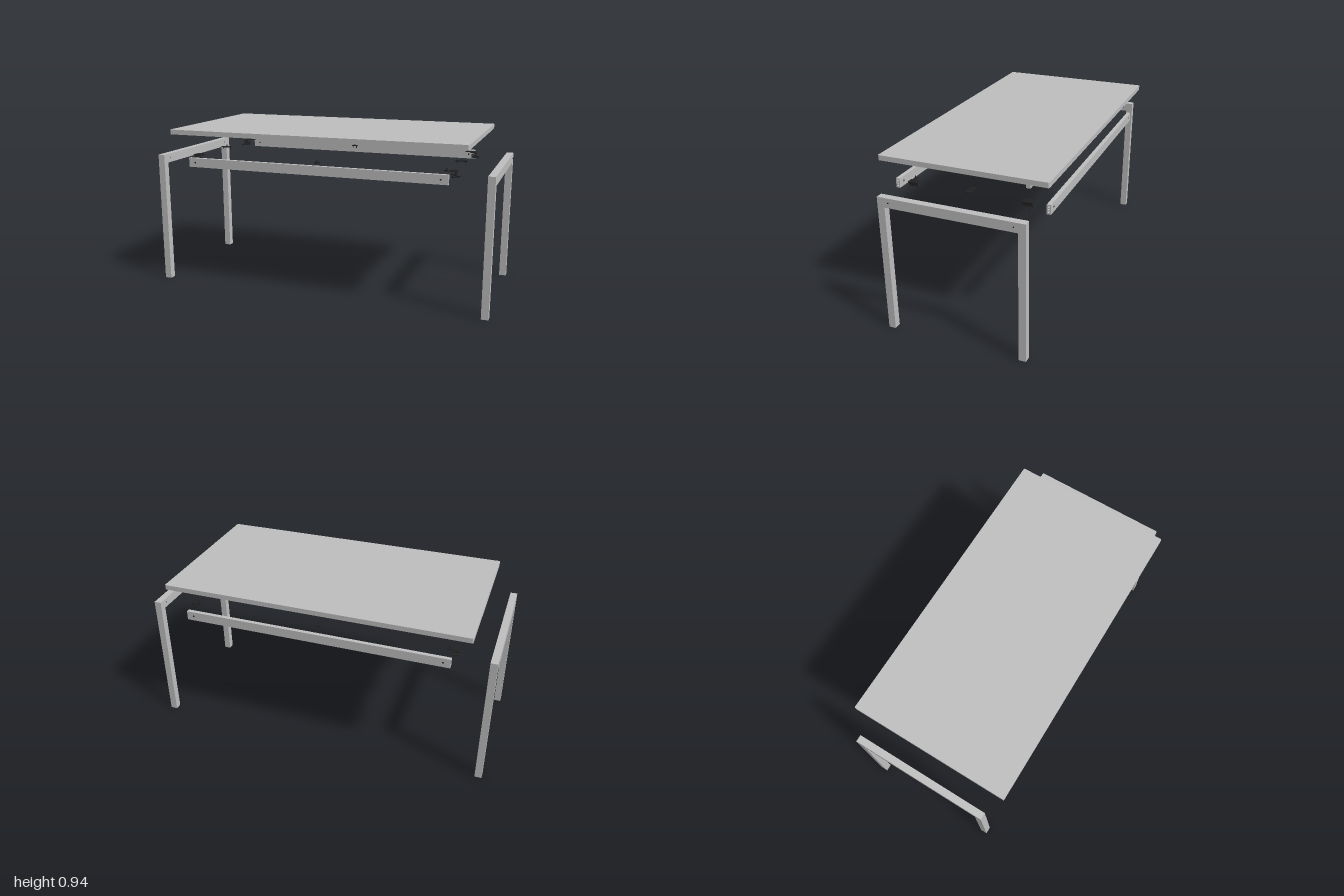
import * as THREE from 'three';

const grey = new THREE.MeshStandardMaterial({ color: 0xc0c0c0 });
grey.name = 'light grey';
const black = new THREE.MeshStandardMaterial({ color: 0x222222 });
black.name = 'black hardware';

function add(parent, name, geometry, material, x = 0, y = 0, z = 0) {
  const mesh = new THREE.Mesh(geometry, material);
  mesh.name = name;
  mesh.position.set(x, y, z);
  parent.add(mesh);
  return mesh;
}

const box = (w, h, d) => new THREE.BoxGeometry(w, h, d);
const rod = (r, len) => new THREE.CylinderGeometry(r, r, len, 12);

function rectShape(w, h, r) {
  const s = new THREE.Shape();
  s.moveTo(-w / 2 + r, -h / 2);
  s.lineTo(w / 2 - r, -h / 2).quadraticCurveTo(w / 2, -h / 2, w / 2, -h / 2 + r);
  s.lineTo(w / 2, h / 2 - r).quadraticCurveTo(w / 2, h / 2, w / 2 - r, h / 2);
  s.lineTo(-w / 2 + r, h / 2).quadraticCurveTo(-w / 2, h / 2, -w / 2, h / 2 - r);
  s.lineTo(-w / 2, -h / 2 + r).quadraticCurveTo(-w / 2, -h / 2, -w / 2 + r, -h / 2);
  return s;
}

// Upturned U-shaped leg frame, 0.04 thick
function legFrame() {
  const s = new THREE.Shape([
    [-0.4, 0], [-0.36, 0], [-0.36, 0.725], [0.36, 0.725],
    [0.36, 0], [0.4, 0], [0.4, 0.778], [-0.4, 0.778],
  ].map(([a, b]) => new THREE.Vector2(a, b)));
  return new THREE.ExtrudeGeometry(s, { depth: 0.04, bevelEnabled: false })
    .translate(0, 0, -0.02).rotateY(Math.PI / 2);
}

// Rail end with three blind screw holes
function railEnd() {
  const s = rectShape(0.023, 0.053, 0.0005);
  for (const y of [-0.014, 0, 0.014]) {
    s.holes.push(new THREE.Path().absarc(0, y, 0.0045, 0, Math.PI * 2, true));
  }
  return new THREE.ExtrudeGeometry(s, { depth: 0.02, bevelEnabled: false, curveSegments: 8 })
    .translate(0, 0, -0.01).rotateY(Math.PI / 2);
}

// Bracket joining a rail to a leg frame; built for +x, +z
function cornerBracket() {
  const g = new THREE.Group();
  g.name = 'cornerBracket';
  add(g, 'bracketPlate', box(0.035, 0.004, 0.058), black, 0.772, 0.781, 0.319);
  add(g, 'bracketArm', box(0.035, 0.004, 0.018), black, 0.738, 0.781, 0.333);
  add(g, 'bracketWeb', box(0.004, 0.02, 0.05), black, 0.782, 0.771, 0.319);
  add(g, 'bracketShelf', box(0.03, 0.004, 0.03), black, 0.772, 0.763, 0.325);
  add(g, 'bracketPost', rod(0.003, 0.014), black, 0.735, 0.788, 0.333);
  for (const z of [0.305, 0.338]) {
    add(g, 'frameBolt', rod(0.003, 0.045), black, 0.783, 0.752, z).rotation.z = Math.PI / 2;
    add(g, 'boltHead', rod(0.006, 0.006), black, 0.765, 0.752, z).rotation.z = Math.PI / 2;
  }
  return g;
}

// Small support clip with a post and two screws, long side along x
function supportClip(length) {
  const g = new THREE.Group();
  g.name = 'supportClip';
  add(g, 'clipPlate', box(length, 0.004, 0.032), black, 0, 0.78, 0);
  add(g, 'clipPost', rod(0.003, 0.012), black, 0, 0.787, 0);
  for (const x of [-0.35, 0.35]) {
    add(g, 'clipScrew', rod(0.0025, 0.014), black, x * length, 0.772, 0);
  }
  return g;
}

export function createModel() {
  const desk = new THREE.Group();
  desk.name = 'explodedDesk';

  // Tabletop with slightly rounded corners
  const top = new THREE.ExtrudeGeometry(rectShape(1.738, 0.926, 0.007),
    { depth: 0.028, bevelEnabled: false, curveSegments: 4 }).rotateX(-Math.PI / 2);
  add(desk, 'tabletop', top, grey, 0, 0.915, 0);

  // Tabletop screws around the edge, none in the centre
  for (const x of [-0.735, 0, 0.735]) {
    for (const z of [-0.333, 0, 0.333]) {
      if (x || z) add(desk, 'topScrew', rod(0.005, 0.012), black, x, 0.901, z);
    }
  }

  for (const sx of [-1, 1]) {
    // Leg frames and their screw heads
    add(desk, 'legFrame', legFrame(), grey, sx * 0.98, 0, 0);
    for (const z of [-0.338, 0.338]) {
      for (const side of [-1, 1]) {
        add(desk, 'frameScrew', rod(0.004, 0.001), black, sx * 0.98 + side * 0.0203, 0.752, z)
          .rotation.z = Math.PI / 2;
      }
    }
    // Middle clip for the leg frame
    const clip = supportClip(0.07);
    clip.position.x = sx * 0.755;
    desk.add(clip);

    for (const sz of [-1, 1]) {
      const bracket = cornerBracket();
      if (sx * sz < 0) {
        // Turn a quarter-mirrored copy by reflecting part positions
        bracket.children.forEach((m) => { m.position.x *= -1; });
      }
      bracket.rotation.y = sz < 0 ? Math.PI : 0;
      desk.add(bracket);
    }
  }

  // Front and back rails with end holes, face screws and a centre clip
  for (const sz of [-1, 1]) {
    const rail = new THREE.Group();
    rail.name = sz > 0 ? 'frontRail' : 'backRail';
    rail.position.set(0, 0.7515, sz * 0.4245);
    add(rail, 'railBody', box(1.49, 0.053, 0.023), grey);
    for (const sx of [-1, 1]) {
      add(rail, 'railEnd', railEnd(), grey, sx * 0.755, 0, 0);
      for (const side of [-1, 1]) {
        add(rail, 'railScrew', rod(0.005, 0.001), black, sx * 0.725, 0.0005, side * 0.0118)
          .rotation.x = Math.PI / 2;
      }
    }
    desk.add(rail);
    const clip = supportClip(0.03);
    clip.position.z = sz * 0.333;
    desk.add(clip);
  }
  return desk;
}
